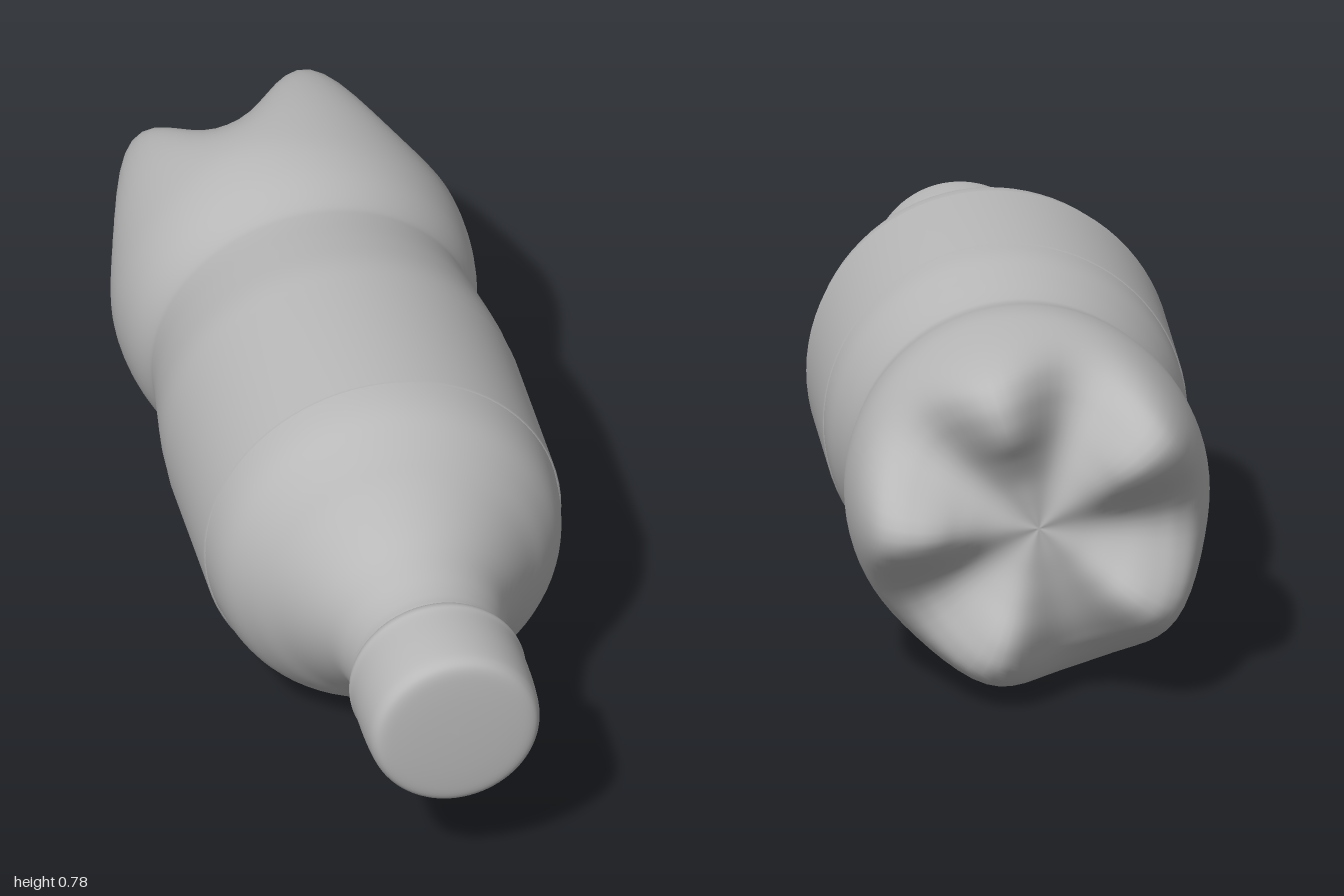
import * as THREE from 'three';
import { mergeVertices } from 'three/addons/utils/BufferGeometryUtils.js';

const SEGMENTS = 80;
const AXIS_HEIGHT = 0.39;

// Smooth profile through [radius, z] points
function profile(points, steps) {
  const curve = new THREE.SplineCurve(points.map(([r, z]) => new THREE.Vector2(r, z)));
  return curve.getPoints((points.length - 1) * steps).map(p => p.set(Math.max(p.x, 0), p.y));
}

// Turned shape lying along z; ordered from back to front
function turned(points) {
  return new THREE.LatheGeometry(points, SEGMENTS).rotateX(Math.PI / 2);
}

export function createModel() {
  const group = new THREE.Group();
  const grey = new THREE.MeshStandardMaterial({ color: 0xb8b8b8, side: THREE.DoubleSide });
  grey.name = 'plain grey';

  const add = (name, geometry) => {
    const mesh = new THREE.Mesh(geometry, grey);
    mesh.name = name;
    mesh.position.y = AXIS_HEIGHT;
    group.add(mesh);
  };

  // Waist, straight wall, shoulder and neck, shared all the way round
  const upper = [
    [0.389, -0.65], [0.381, -0.55], [0.358, -0.45], [0.358, -0.4], [0.372, -0.3], [0.385, -0.2],
    [0.387, -0.1], [0.387, 0.06], [0.387, 0.22], [0.37, 0.33], [0.325, 0.405], [0.27, 0.47],
    [0.205, 0.57], [0.178, 0.66], [0.17, 0.72], [0.172, 0.76], [0.172, 0.82],
  ];
  // Base outline through a groove and through the crest of a foot
  const groove = [
    [0, -0.92], [0.06, -0.918], [0.11, -0.912], [0.165, -0.902], [0.22, -0.887], [0.265, -0.868],
    [0.305, -0.845], [0.345, -0.805], [0.375, -0.74],
  ];
  const crest = [
    [0, -0.92], [0.06, -0.925], [0.115, -0.935], [0.17, -0.96], [0.22, -0.99], [0.265, -1],
    [0.315, -0.988], [0.355, -0.94], [0.38, -0.82],
  ];
  const low = profile([...groove, ...upper], 5);
  const high = profile([...crest, ...upper], 5);

  // Five feet: blend each ring from groove outline to crest outline
  const body = turned(low);
  const pos = body.attributes.position;
  for (let i = 0; i <= SEGMENTS; i++) {
    const phi = (i % SEGMENTS) / SEGMENTS * Math.PI * 2;
    const x = Math.sin(phi), y = -Math.cos(phi);
    const w = Math.pow(0.5 + 0.5 * Math.cos(5 * Math.atan2(y, x)), 1.1);
    low.forEach((p, j) => {
      const q = p.clone().lerp(high[j], w);
      pos.setXYZ(i * low.length + j, q.x * x, q.x * y, q.y);
    });
  }
  body.deleteAttribute('normal');
  body.deleteAttribute('uv');
  const smoothBody = mergeVertices(body, 1e-5);
  smoothBody.computeVertexNormals();
  add('bottleBody', smoothBody);

  // Thin label sleeve round the straight wall
  add('labelSleeve', turned([[0.386, -0.13], [0.39, -0.128], [0.39, 0.243], [0.386, 0.245]]
    .map(([r, z]) => new THREE.Vector2(r, z))));

  // Screw cap with rounded front edge
  add('cap', turned(profile([
    [0.17, 0.755], [0.184, 0.768], [0.192, 0.787], [0.19, 0.81], [0.19, 0.88], [0.187, 0.945],
    [0.18, 0.975], [0.163, 0.99], [0.12, 0.996], [0.06, 0.999], [0, 1],
  ], 4)));

  return group;
}
